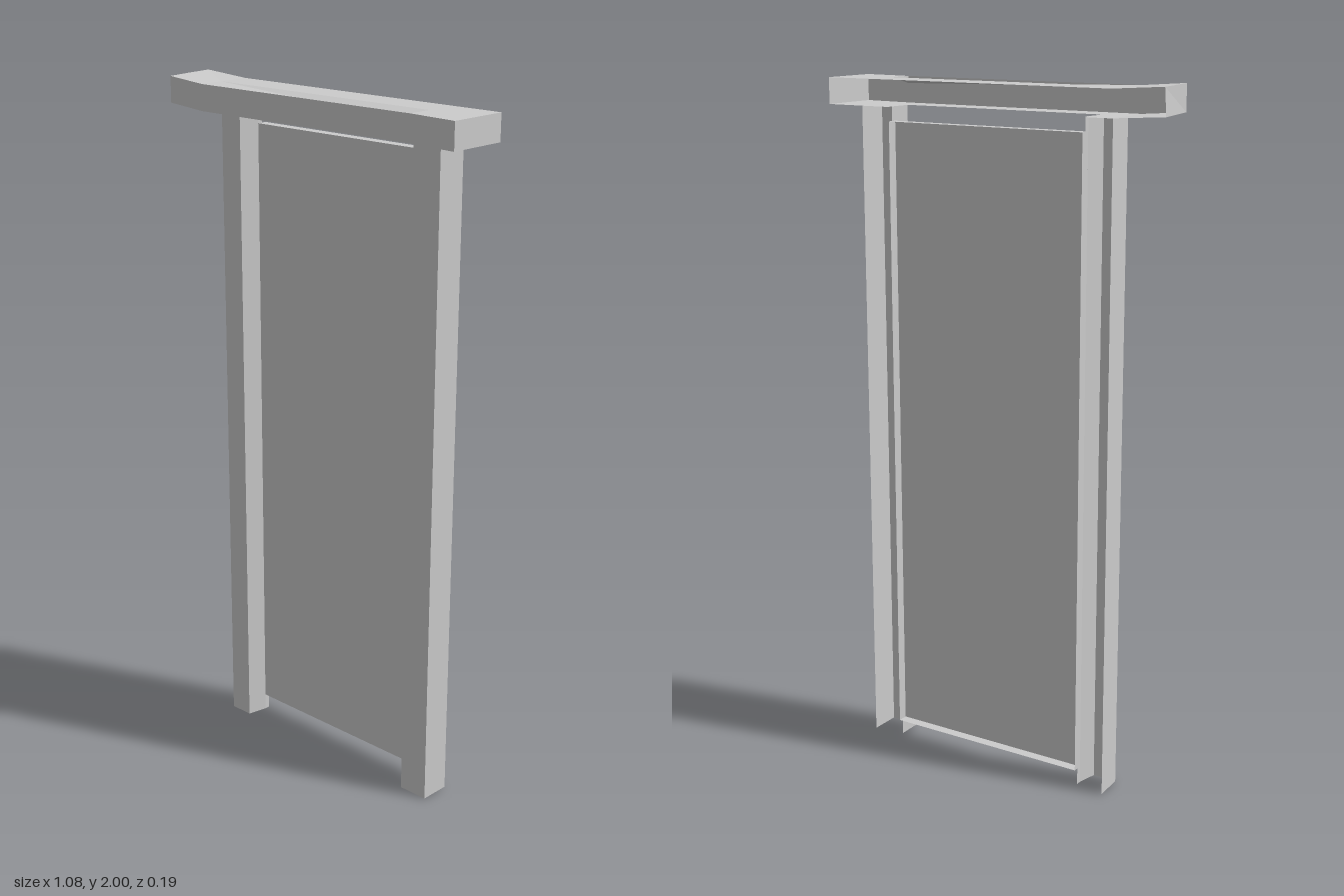
import * as THREE from 'three';

const material = new THREE.MeshStandardMaterial({
  color: 0xcccccc, flatShading: true, side: THREE.DoubleSide,
});

// Sheet surface spanning a list of cross-sections, each a list of [x, y, z]
function sheet(name, sections) {
  const pos = [];
  for (let i = 0; i < sections.length - 1; i++) {
    const a = sections[i], b = sections[i + 1];
    for (let j = 0; j < a.length - 1; j++) {
      pos.push(...a[j], ...b[j], ...b[j + 1], ...a[j], ...b[j + 1], ...a[j + 1]);
    }
  }
  const geo = new THREE.BufferGeometry();
  geo.setAttribute('position', new THREE.Float32BufferAttribute(pos, 3));
  geo.computeVertexNormals();
  const mesh = new THREE.Mesh(geo, material);
  mesh.name = name;
  return mesh;
}

// Open channel standing upright, from a plan profile of [x, z]
function post(name, profile) {
  return sheet(name, [0, 1.915].map((y) => profile.map(([x, z]) => [x, y, z])));
}

export function createModel() {
  const model = new THREE.Group();
  model.name = 'doorFrame';

  // Posts: outer flange, front face and shallower inner flange
  model.add(post('rightPost', [[-0.385, -0.09], [-0.38, 0], [-0.308, 0], [-0.295, -0.06], [-0.295, -0.075]]));
  model.add(post('leftPost', [[0.422, -0.09], [0.42, 0], [0.33, 0], [0.33, -0.075]]));

  // Door leaf: shallow tray with its rim turned to the back
  const door = new THREE.Group();
  door.name = 'door';
  const x0 = -0.295, x1 = 0.33, y0 = 0.05, y1 = 1.875, zf = -0.06, zb = -0.09;
  const corners = [[x0, y0], [x1, y0], [x1, y1], [x0, y1], [x0, y0]];
  door.add(sheet('doorPanel', [[[x0, y0, zf], [x1, y0, zf]], [[x0, y1, zf], [x1, y1, zf]]]));
  door.add(sheet('doorRim', [zf, zb].map((z) => corners.map(([x, y]) => [x, y, z]))));
  model.add(door);

  // Lintel: hollow beam, open at the back, its right end bent slightly upward
  const lintel = new THREE.Group();
  lintel.name = 'lintel';
  // Stations: x at back, x at front, z at front, bottom y, top y
  const stations = [
    [-0.535, -0.512, 0.073, 1.925, 2.0],
    [-0.38, -0.38, 0.075, 1.915, 1.99],
    [0.38, 0.38, 0.075, 1.915, 1.99],
    [0.535, 0.535, 0.09, 1.915, 1.99],
  ];
  const back = -0.095;
  lintel.add(sheet('lintelFront', stations.map(([, xf, z, b, t]) => [[xf, t, z], [xf, b, z]])));
  const topAt = ([xb, xf, z, , t], dip = 0) => [[xb, t, back], [(xb + xf) / 2, t, 0], [xf, t - dip, z]];
  // The top sags toward the front at one station, then steps back up
  lintel.add(sheet('lintelTop', [
    topAt(stations[0]), topAt(stations[1]), topAt(stations[2], 0.02), topAt(stations[2]), topAt(stations[3]),
  ]));
  for (const [name, [xb, xf, z, b, t]] of [['rightCap', stations[0]], ['leftCap', stations[3]]]) {
    lintel.add(sheet(name, [[[xb, t, back], [xf, t, z]], [[xb - (xb < 0 ? 0.005 : 0), b, back], [xf, b, z]]]));
  }
  // Underside: full depth at the ends, a front strip between the posts
  const under = (xb, xf, y, z, zBack = back) => [[xb, y, zBack], [xf, y, z]];
  lintel.add(sheet('rightSoffit', [
    under(-0.54, -0.512, 1.925, 0.073), under(-0.38, -0.38, 1.915, 0.075), under(-0.3, -0.3, 1.915, 0.075),
  ]));
  lintel.add(sheet('middleSoffit', [under(-0.3, -0.3, 1.915, 0.075, 0), under(0.33, 0.33, 1.915, 0.075, 0)]));
  lintel.add(sheet('leftSoffit', [
    under(0.33, 0.33, 1.915, 0.075), under(0.38, 0.38, 1.915, 0.075), under(0.535, 0.535, 1.915, 0.09),
  ]));
  model.add(lintel);

  return model;
}
